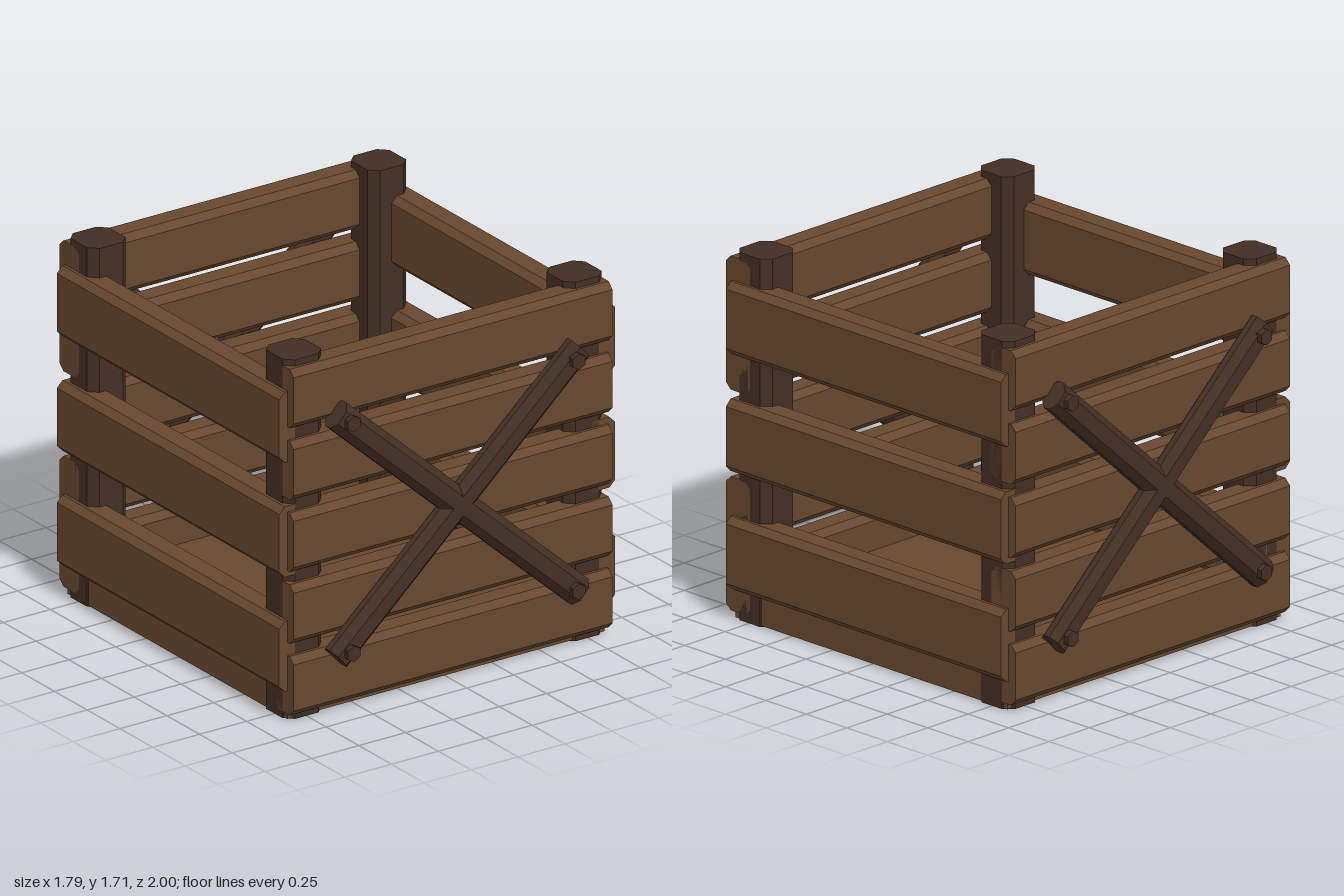
import * as THREE from 'three';

const plank = new THREE.MeshStandardMaterial({ color: 0x68482f, flatShading: true });
const darkWood = new THREE.MeshStandardMaterial({ color: 0x422f24, flatShading: true });

// Bar running along z, centred, with its four long edges chamfered
function chamferedBar(w, h, length, c) {
  const x = w / 2, y = h / 2;
  const shape = new THREE.Shape([
    [x - c, -y], [x, -y + c], [x, y - c], [x - c, y],
    [-x + c, y], [-x, y - c], [-x, -y + c], [-x + c, -y],
  ].map(([px, py]) => new THREE.Vector2(px, py)));
  return new THREE.ExtrudeGeometry(shape, { depth: length, bevelEnabled: false })
    .translate(0, 0, -length / 2);
}

function add(parent, name, geometry, material, x, y, z) {
  const mesh = new THREE.Mesh(geometry, material);
  mesh.name = name;
  mesh.position.set(x, y, z);
  parent.add(mesh);
  return mesh;
}

export function createModel() {
  const crate = new THREE.Group();
  crate.name = 'woodenCrate';

  // Floor, just above the feet of the posts
  add(crate, 'floor', new THREE.BoxGeometry(1.69, 0.14, 1.68), plank, 0, 0.075, 0);

  // Corner posts
  const post = chamferedBar(0.205, 0.205, 1.71, 0.04).rotateX(Math.PI / 2);
  for (const x of [-0.7475, 0.7475])
    for (const z of [-0.7475, 0.7475]) add(crate, 'cornerPost', post, darkWood, x, 0.855, z);

  // Five slats on the front and back
  const longSlat = chamferedBar(0.15, 0.28, 1.7, 0.03).rotateY(Math.PI / 2);
  for (const z of [-0.82, 0.82])
    for (let i = 0; i < 5; i++)
      add(crate, z > 0 ? 'frontSlat' : 'backSlat', longSlat, plank, 0, 0.172 + i * 0.342, z);

  // Three wider slats on each side
  const sideSlat = chamferedBar(0.15, 0.336, 1.7, 0.03);
  for (const x of [-0.82, 0.82])
    for (let i = 0; i < 3; i++)
      add(crate, x > 0 ? 'leftSlat' : 'rightSlat', sideSlat, plank, x, 0.31 + i * 0.546, 0);

  // Crossed braces with hexagonal bolts, front and back
  const brace = chamferedBar(0.135, 0.1, 1.735, 0.034)
    .rotateY(Math.PI / 2).rotateX(Math.PI / 2);
  const bolt = new THREE.CylinderGeometry(0.038, 0.038, 0.06, 6).rotateX(Math.PI / 2);
  for (const side of [1, -1]) {
    const cross = new THREE.Group();
    cross.name = side > 0 ? 'frontCross' : 'backCross';
    for (const s of [-1, 1]) {
      add(cross, 'brace', brace, darkWood, 0, 0.857, side * 0.925).rotation.z = s * 0.732;
      for (const y of [0.31, 1.405]) add(cross, 'bolt', bolt, darkWood, s * 0.6, y, side * 0.97);
    }
    crate.add(cross);
  }

  return crate;
}
